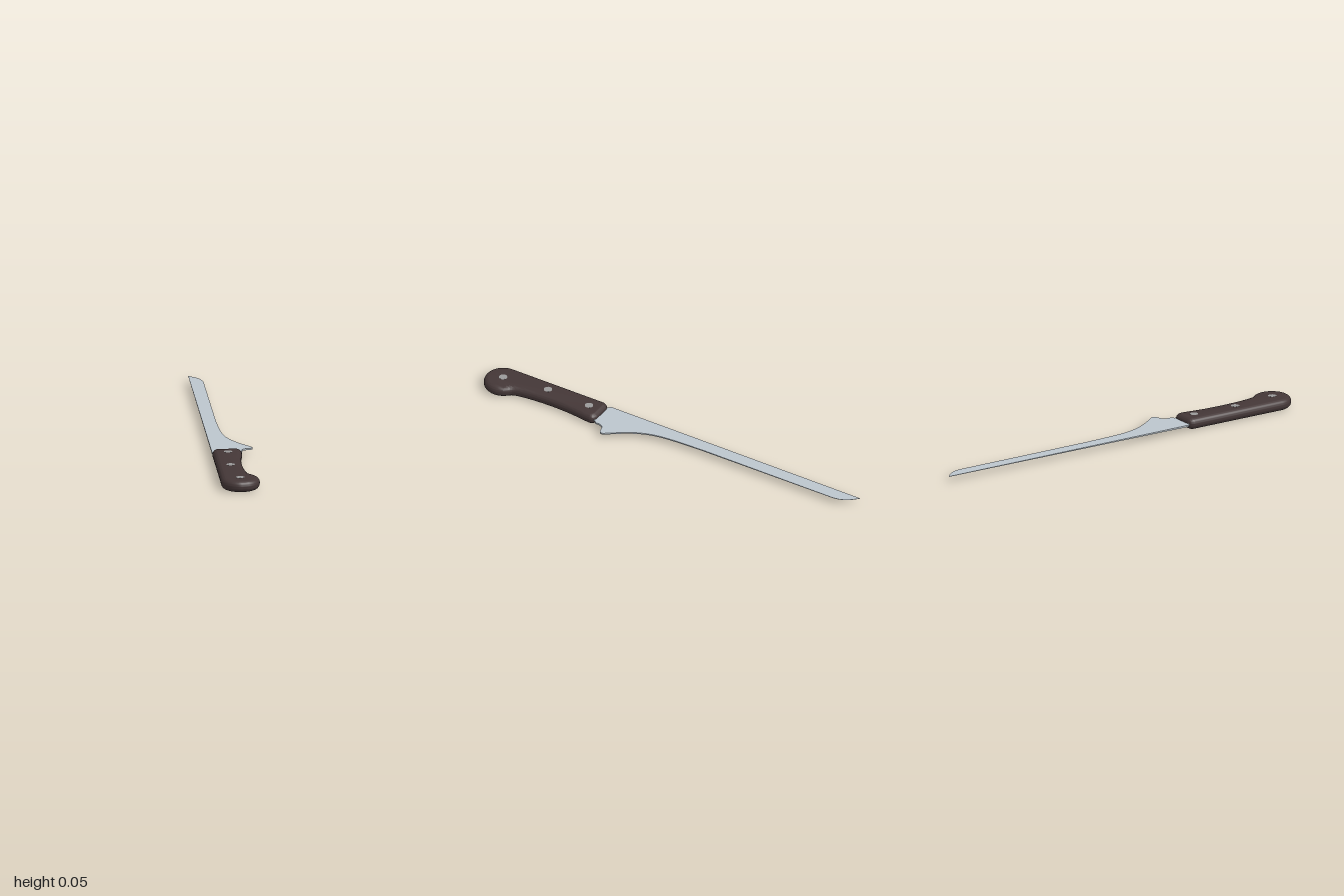
import * as THREE from 'three';
import { mergeVertices, toCreasedNormals } from 'three/addons/utils/BufferGeometryUtils.js';

const handleMat = new THREE.MeshStandardMaterial({ name: 'dark wood', color: 0x443737 });
const bladeMat = new THREE.MeshStandardMaterial({ name: 'steel', color: 0xbcc5cd });
const rivetMat = new THREE.MeshStandardMaterial({ name: 'rivet grey', color: 0x9a9a9a });

const MID = 0.0275; // height of the middle plane

// plan coordinates are (x, z); the shape's y is -z so that it can be laid flat
const pts = (list) => list.map(([x, z]) => new THREE.Vector2(x, -z));

function layFlat(shape, options) {
  const geo = new THREE.ExtrudeGeometry(shape, options);
  geo.rotateX(-Math.PI / 2);
  return geo;
}

function smooth(geo, crease) {
  geo.deleteAttribute('normal');
  geo.deleteAttribute('uv');
  return toCreasedNormals(mergeVertices(geo, 1e-5), crease);
}

function makeHandle() {
  const bevel = 0.025;
  // outline inset by the bevel: rounded front corners, waisted belly, round pommel
  const s = new THREE.Shape();
  s.moveTo(-0.075, -0.411);
  s.quadraticCurveTo(-0.075, -0.405, -0.069, -0.405);
  s.lineTo(0.007, -0.405);
  s.quadraticCurveTo(0.013, -0.405, 0.013, -0.411);
  s.splineThru(pts([[0.010, 0.45], [0.002, 0.51], [-0.003, 0.6], [-0.001, 0.7],
    [0.008, 0.79], [0.02, 0.838], [0.038, 0.862]]));
  s.absarc(-0.009, -0.909, 0.066, Math.PI / 4, -Math.PI, true);
  s.closePath();
  const geo = layFlat(s, {
    depth: 0.004, bevelEnabled: true, bevelThickness: bevel, bevelSize: bevel,
    bevelSegments: 8, curveSegments: 10,
  });
  geo.translate(0, MID - 0.002, 0);
  const mesh = new THREE.Mesh(smooth(geo, 0.7), handleMat);
  mesh.name = 'handle';
  return mesh;
}

function makeBlade() {
  const s = new THREE.Shape();
  s.moveTo(-0.1, 1);
  // tang end inside the handle
  s.lineTo(-0.1, -0.37);
  s.lineTo(-0.085, -0.385);
  s.lineTo(-0.085, -0.43);
  s.lineTo(0.02, -0.43);
  s.lineTo(0.03, -0.38);
  // heel notch and finger spur
  s.splineThru(pts([[0.042, 0.37], [0.044, 0.345], [0.056, 0.326], [0.085, 0.318], [0.097, 0.309], [0.097, 0.295]]));
  // cutting edge
  s.splineThru(pts([[0.062, 0.247], [0.03, 0.2], [0, 0.14], [-0.02, 0.07], [-0.03, -0.02], [-0.036, -0.18]]));
  s.lineTo(-0.037, 0.88);
  // rounded tip
  s.bezierCurveTo(-0.039, 0.94, -0.06, 0.965, -0.1, 1);
  const geo = layFlat(s, { depth: 1, bevelEnabled: false, curveSegments: 8 });
  // thickness tapers from the heel to the tip
  const p = geo.attributes.position;
  for (let i = 0; i < p.count; i++) {
    const half = THREE.MathUtils.mapLinear(p.getZ(i), -1, 0.4, 0.0008, 0.004);
    p.setY(i, MID + (p.getY(i) - 0.5) * 2 * half);
  }
  const mesh = new THREE.Mesh(smooth(geo, 0.6), bladeMat);
  mesh.name = 'blade';
  return mesh;
}

export function createModel() {
  const model = new THREE.Group();
  model.name = 'slicingKnife';
  model.add(makeHandle(), makeBlade());
  // rivets pass through the handle and show on both faces
  const rivetGeo = new THREE.CylinderGeometry(0.02, 0.02, 2 * MID, 16);
  [[-0.03, 0.45], [-0.037, 0.68], [-0.01, 0.91]].forEach(([x, z], i) => {
    const rivet = new THREE.Mesh(rivetGeo, rivetMat);
    rivet.name = `rivet${i + 1}`;
    rivet.position.set(x, MID, z);
    model.add(rivet);
  });
  return model;
}
